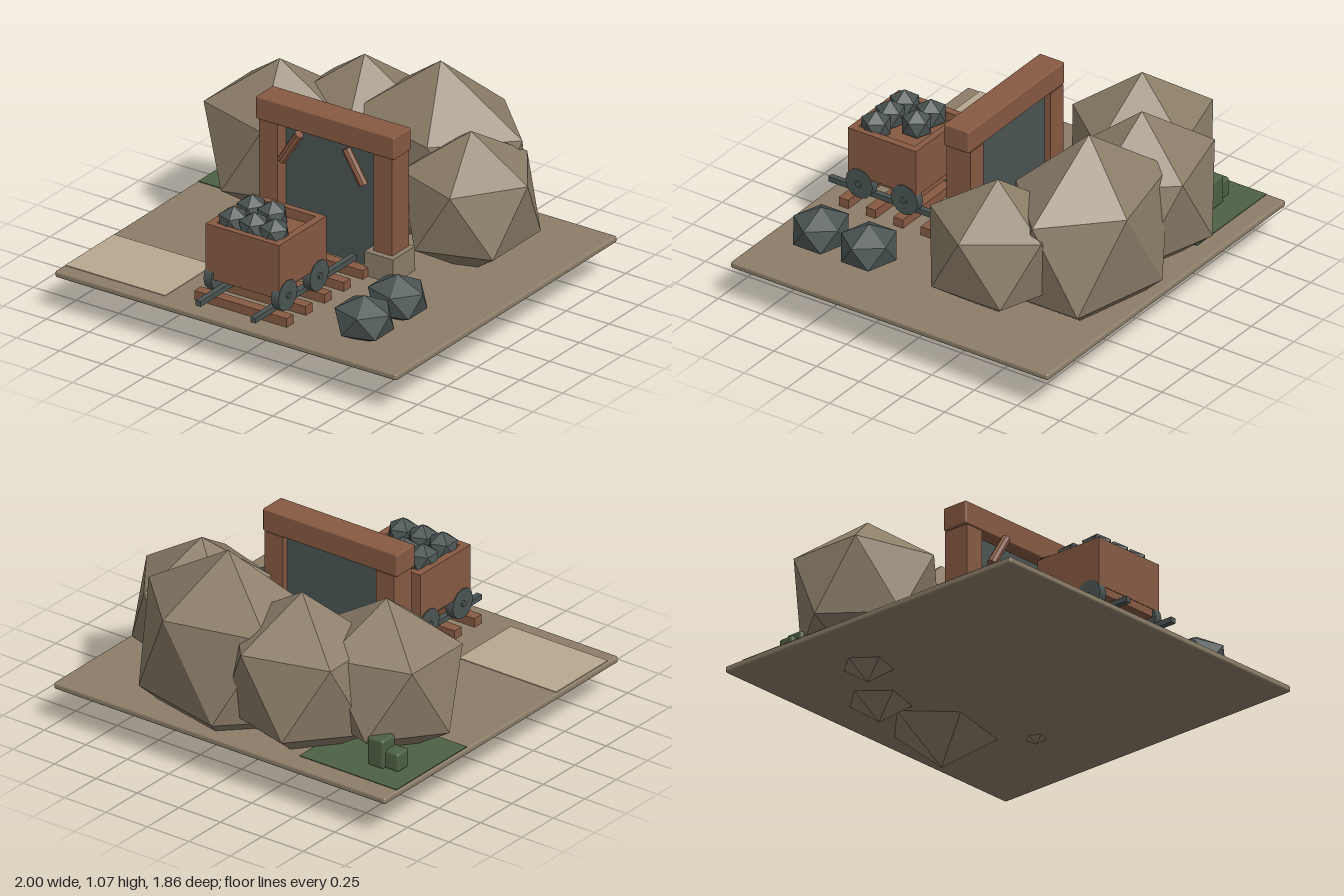
import * as THREE from 'three';
import { RoundedBoxGeometry } from 'three/addons/geometries/RoundedBoxGeometry.js';
import { ConvexGeometry } from 'three/addons/geometries/ConvexGeometry.js';

const mat = (name, color) => {
  const m = new THREE.MeshStandardMaterial({ color });
  m.name = name;
  return m;
};

// Twenty-sided stone with one corner straight up
function stoneGeometry() {
  const pts = [new THREE.Vector3(0, 1, 0), new THREE.Vector3(0, -1, 0)];
  for (let i = 0; i < 5; i++) {
    const a = (i * Math.PI * 2) / 5;
    const x = 0.8944 * Math.cos(a), z = 0.8944 * Math.sin(a);
    pts.push(new THREE.Vector3(x, 0.4472, z), new THREE.Vector3(-x, -0.4472, -z));
  }
  return new ConvexGeometry(pts);
}

export function createModel() {
  const model = new THREE.Group();
  model.name = 'mineEntrance';

  const earth = mat('earth', 0x8c7e69);
  const sand = mat('sand', 0xb9aa90);
  const wood = mat('wood', 0x875a42);
  const iron = mat('iron', 0x4b5554);
  const grass = mat('grass', 0x4d6044);

  const add = (name, geo, material, x, y, z, parent = model) => {
    const mesh = new THREE.Mesh(geo, material);
    mesh.name = name;
    mesh.position.set(x, y, z);
    parent.add(mesh);
    return mesh;
  };
  // Box given by its limits on each axis
  const box = (name, material, [x0, x1], [y0, y1], [z0, z1], parent = model, round = 0) => {
    const s = [x1 - x0, y1 - y0, z1 - z0];
    const geo = round ? new RoundedBoxGeometry(...s, 2, round) : new THREE.BoxGeometry(...s);
    return add(name, geo, material, (x0 + x1) / 2, (y0 + y1) / 2, (z0 + z1) / 2, parent);
  };
  const group = (name) => {
    const g = new THREE.Group();
    g.name = name;
    model.add(g);
    return g;
  };
  const stoneGeo = stoneGeometry();
  const stone = (name, material, x, y, z, sx, sy, sz, parent) =>
    add(name, stoneGeo, material, x, y, z, parent).scale.set(sx, sy, sz);

  // Ground slab and painted patches
  box('ground', earth, [-1, 1], [0.2, 0.235], [-0.93, 0.93], model, 0.012);
  box('sandPatch', sand, [-0.99, -0.405], [0.233, 0.239], [0.445, 0.855]);
  box('grassPatch', grass, [-0.99, -0.405], [0.233, 0.239], [-0.825, -0.265]);
  box('smallBush', grass, [-0.89, -0.8], [0.235, 0.335], [-0.68, -0.59], model, 0.015);
  box('tallBush', grass, [-0.815, -0.715], [0.235, 0.39], [-0.7, -0.6], model, 0.015);

  // Mountain boulders
  const mountain = group('mountain');
  [
    [-0.59, -0.375, 0.423],
    [-0.255, -0.607, 0.447],
    [0.19, -0.607, 0.535],
    [0.56, -0.33, 0.372],
  ].forEach(([x, z, r]) => stone('boulder', earth, x, 0.54, z, r, r, 0.383, mountain));

  // Timber portal
  const portal = group('portal');
  box('tunnelDark', iron, [-0.285, 0.285], [0.235, 0.885], [-0.02, 0.02], portal);
  box('lintel', wood, [-0.405, 0.405], [0.88, 1.0], [-0.05, 0.095], portal, 0.008);
  for (const s of [-1, 1]) {
    const span = (a, b) => (s < 0 ? [-b, -a] : [a, b]);
    box('post', wood, span(0.28, 0.39), [0.35, 0.882], [-0.053, 0.088], portal);
    box('footing', earth, span(0.25, 0.418), [0.23, 0.363], [-0.065, 0.12], portal);
    const a = new THREE.Vector3(s * 0.24, 0.712, 0.112);
    const b = new THREE.Vector3(s * 0.137, 0.878, 0.112);
    const mid = a.clone().lerp(b, 0.5);
    const braceGeo = new THREE.CylinderGeometry(0.024, 0.024, a.distanceTo(b), 8).toNonIndexed();
    braceGeo.computeVertexNormals();
    const brace = add('brace', braceGeo, wood, mid.x, mid.y, mid.z, portal);
    brace.quaternion.setFromUnitVectors(new THREE.Vector3(0, 1, 0), b.clone().sub(a).normalize());
  }

  // Track
  const track = group('track');
  for (let i = 0; i < 5; i++) {
    const z = 0.135 + i * 0.16;
    box('tie', wood, [-0.27, 0.27], [0.235, 0.282], [z - 0.028, z + 0.028], track);
  }
  for (const x of [-0.16, 0.16])
    box('rail', iron, [x - 0.015, x + 0.015], [0.28, 0.308], [0.08, 0.93], track);

  // Cart: open tub, chassis, wheels and load
  const cart = group('cart');
  const tub = new THREE.Shape([[-0.215, -0.2], [0.215, -0.2], [0.215, 0.2], [-0.215, 0.2]]
    .map(([x, y]) => new THREE.Vector2(x, y)));
  tub.holes.push(new THREE.Path([[-0.175, -0.165], [-0.175, 0.165], [0.175, 0.165], [0.175, -0.165]]
    .map(([x, y]) => new THREE.Vector2(x, y))));
  const tubGeo = new THREE.ExtrudeGeometry(tub, { depth: 0.25, bevelEnabled: false });
  tubGeo.rotateX(-Math.PI / 2);
  add('tubWalls', tubGeo, wood, 0, 0.4, 0.588, cart);
  box('tubFloor', wood, [-0.18, 0.18], [0.405, 0.6], [0.42, 0.756], cart);
  box('chassis', wood, [-0.172, 0.172], [0.36, 0.406], [0.4, 0.785], cart);
  const wheelGeo = new THREE.CylinderGeometry(0.08, 0.08, 0.045, 12).rotateZ(Math.PI / 2);
  const axleGeo = new THREE.CylinderGeometry(0.016, 0.016, 0.46, 8).rotateZ(Math.PI / 2);
  for (const z of [0.455, 0.72]) {
    add('axle', axleGeo, iron, 0, 0.36, z, cart);
    for (const x of [-0.197, 0.197]) add('wheel', wheelGeo, iron, x, 0.36, z, cart);
  }
  [[-0.12, 0.535], [0, 0.535], [-0.12, 0.69], [0, 0.69], [0.12, 0.69]]
    .forEach(([x, z]) => stone('ore', iron, x, 0.65, z, 0.082, 0.082, 0.082, cart));

  // Loose ore beside the track
  for (const z of [0.38, 0.66]) stone('looseOre', iron, 0.625, 0.325, z, 0.165, 0.124, 0.152);

  return model;
}
